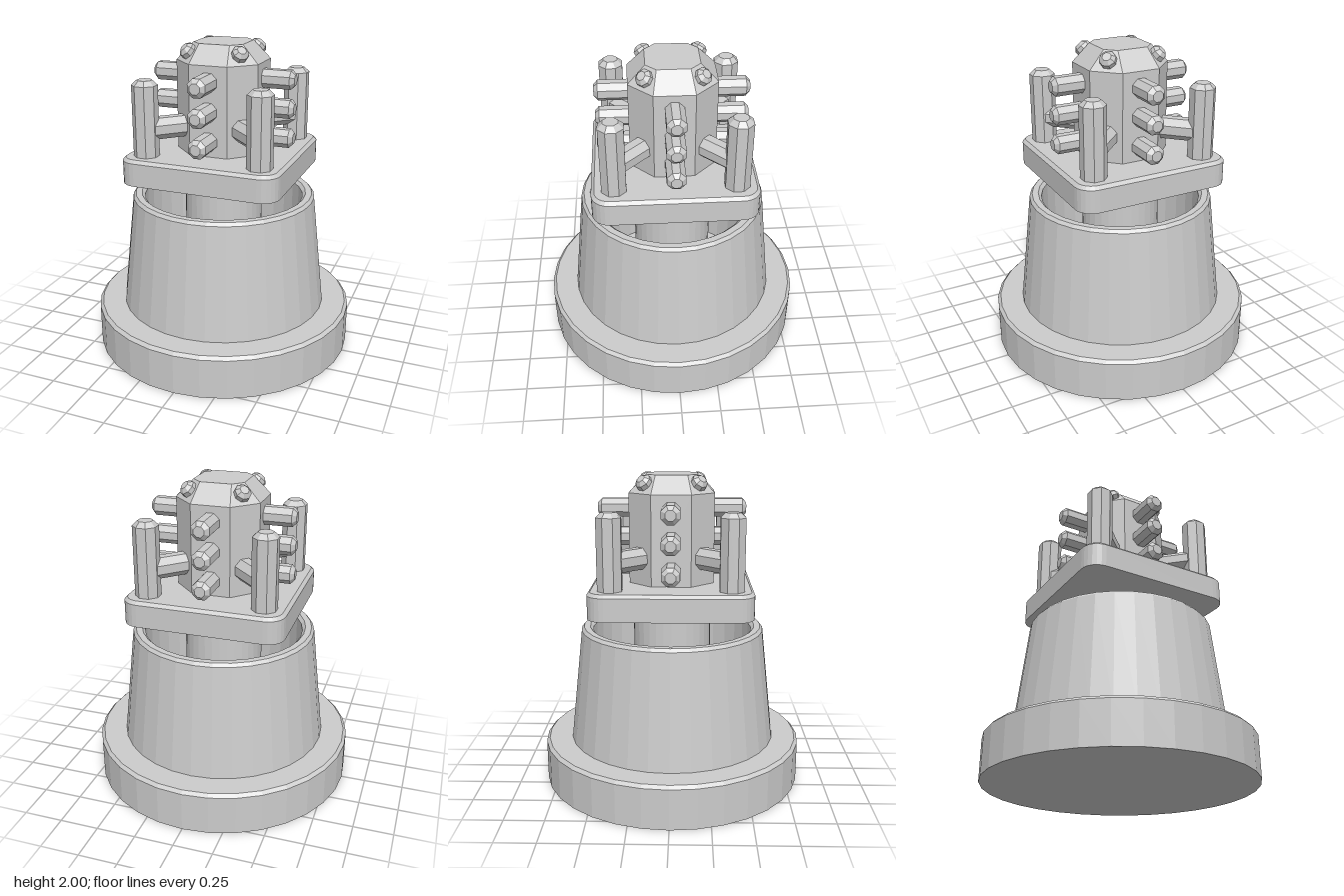
import * as THREE from 'three';
import { ConvexGeometry } from 'three/addons/geometries/ConvexGeometry.js';

const material = new THREE.MeshStandardMaterial({ color: 0xcccccc, flatShading: true });

function addMesh(parent, name, geometry) {
  const mesh = new THREE.Mesh(geometry, material);
  mesh.name = name;
  parent.add(mesh);
  return mesh;
}

// Turned part from a [radius, y] profile
function lathe(profile, sides = 32) {
  return new THREE.LatheGeometry(profile.map(([r, y]) => new THREE.Vector2(r, y)), sides);
}

// Octagonal pin along +y from y = 0, flats on the axes, chamfered at the tip
function pin(halfWidth, length, chamfer) {
  const k = 1 / Math.cos(Math.PI / 8);
  const geometry = lathe([
    [0, 0], [halfWidth * k, 0], [halfWidth * k, length - chamfer],
    [(halfWidth - chamfer) * k, length], [0, length],
  ], 8);
  return geometry.rotateY(Math.PI / 8);
}

// Four-fold octagon: flats at distance a, corners at offset b
function octagon(a, b, y) {
  const points = [];
  for (const s of [-1, 1]) for (const t of [-1, 1]) {
    points.push(new THREE.Vector3(s * a, y, t * b), new THREE.Vector3(s * b, y, t * a));
  }
  return points;
}

// Rounded square outline at height y
function roundedSquare(half, radius, y, steps = 6) {
  const points = [];
  for (let q = 0; q < 4; q++) {
    const mid = Math.PI / 4 + q * Math.PI / 2;
    const cx = Math.sign(Math.cos(mid)) * (half - radius);
    const cz = Math.sign(Math.sin(mid)) * (half - radius);
    for (let i = 0; i <= steps; i++) {
      const a = (q + i / steps) * Math.PI / 2;
      points.push(new THREE.Vector3(cx + radius * Math.cos(a), y, cz + radius * Math.sin(a)));
    }
  }
  return points;
}

export function createModel() {
  const model = new THREE.Group();
  model.name = 'turretTower';

  // Round foot and hollow tapered drum
  addMesh(model, 'base', lathe([[0, 0], [0.845, 0], [0.845, 0.26], [0.825, 0.28], [0, 0.28]]));
  addMesh(model, 'drum', lathe([
    [0.675, 0.27], [0.592, 1.01], [0.575, 1.03], [0.535, 1.03], [0.515, 1.01], [0.515, 0.27],
  ]));

  // Central column carrying the platform
  addMesh(model, 'column', new THREE.CylinderGeometry(0.25, 0.25, 0.92, 32).translate(0, 0.73, 0));
  addMesh(model, 'platform', new ConvexGeometry([
    ...roundedSquare(0.505, 0.11, 1.165),
    ...roundedSquare(0.505, 0.11, 1.31),
    ...roundedSquare(0.485, 0.09, 1.33),
  ]));

  // Eight-sided core with a chamfered crown
  addMesh(model, 'core', new ConvexGeometry([
    ...octagon(0.265, 0.122, 1.325),
    ...octagon(0.265, 0.122, 1.89),
    ...octagon(0.16, 0.098, 2.0),
  ]));

  for (let i = 0; i < 4; i++) {
    // Three studs on each main face
    const face = new THREE.Group();
    face.name = 'studColumn';
    face.rotation.y = i * Math.PI / 2;
    model.add(face);
    for (const y of [1.425, 1.61, 1.79]) {
      const stud = addMesh(face, 'stud', pin(0.057, 0.265, 0.025));
      stud.rotation.x = Math.PI / 2;
      stud.position.set(0, y, 0.2);
    }

    // Corner post, its brace and the crown bolt, laid out along the diagonal
    const corner = new THREE.Group();
    corner.name = 'corner';
    corner.rotation.y = Math.PI / 4 + i * Math.PI / 2;
    model.add(corner);

    const post = addMesh(corner, 'post', pin(0.074, 0.475, 0.03));
    post.rotation.y = Math.PI / 4;
    post.position.set(0, 1.325, 0.519);

    const brace = addMesh(corner, 'brace', pin(0.066, 0.32, 0.01));
    brace.rotation.x = Math.PI / 2;
    brace.position.set(0, 1.497, 0.2);

    const bolt = addMesh(corner, 'crownBolt', pin(0.048, 0.12, 0.022));
    bolt.rotation.x = Math.PI / 4;
    bolt.position.set(0, 1.895, 0.178);
  }
  return model;
}
